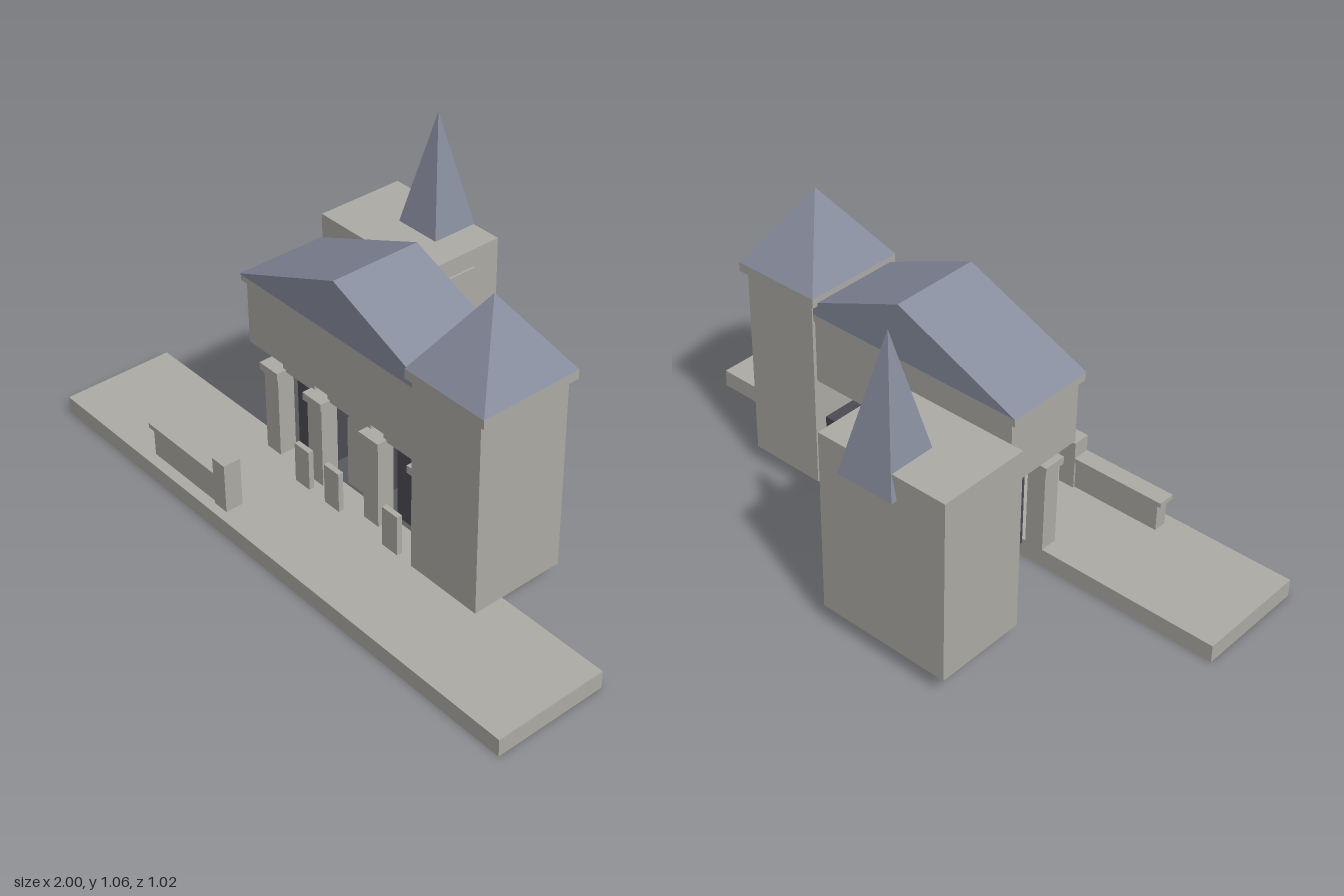
import * as THREE from 'three';

const mat = (name, color) => {
  const m = new THREE.MeshStandardMaterial({ color });
  m.name = name;
  return m;
};

export function createModel() {
  const model = new THREE.Group();
  model.name = 'gatehouse';
  const stone = mat('stone', 0xaeaca6);
  const slate = mat('slate', 0x888d9e);
  const dark = mat('dark doorway', 0x4d4b54);

  const add = (name, geometry, material) => {
    const mesh = new THREE.Mesh(geometry, material);
    mesh.name = name;
    model.add(mesh);
    return mesh;
  };
  // Box given by its limits on each axis
  const box = (name, x0, x1, y0, y1, z0, z1, material = stone) => {
    const mesh = add(name, new THREE.BoxGeometry(x1 - x0, y1 - y0, z1 - z0), material);
    mesh.position.set((x0 + x1) / 2, (y0 + y1) / 2, (z0 + z1) / 2);
  };
  // Four-sided roof over a rectangle
  const pyramid = (name, x, z, w, d, y0, y1) => {
    const g = new THREE.ConeGeometry(Math.SQRT1_2, 1, 4).toNonIndexed();
    g.rotateY(Math.PI / 4);
    g.scale(w, y1 - y0, d);
    g.computeVertexNormals();
    add(name, g, slate).position.set(x, (y0 + y1) / 2, z);
  };
  // Outline in x and y, extruded along z
  const prism = (name, points, z0, z1, material) => {
    const shape = new THREE.Shape(points.map(([x, y]) => new THREE.Vector2(x, y)));
    const g = new THREE.ExtrudeGeometry(shape, { depth: z1 - z0, bevelEnabled: false });
    add(name, g, material).position.z = z0;
  };

  box('base', -1, 1, 0, 0.06, 0.125, 0.51);

  // Square tower
  box('tower', 0.34, 0.61, 0.063, 0.72, -0.095, 0.23);
  box('towerCornice', 0.32, 0.63, 0.717, 0.748, -0.11, 0.24);
  pyramid('towerRoof', 0.475, 0.065, 0.31, 0.35, 0.748, 0.99);

  // Raised hall with a wide gable
  box('hall', -0.42, 0.36, 0.44, 0.66, -0.083, 0.205);
  box('hallCornice', -0.435, 0.36, 0.655, 0.68, -0.09, 0.215);
  prism('hallRoof', [[-0.435, 0.68], [0.435, 0.68], [0, 0.863]], -0.09, 0.22, slate);

  // Pillars with caps
  for (const [x0, x1] of [[-0.38, -0.315], [-0.175, -0.11], [0.08, 0.145], [0.29, 0.345]]) {
    box('pillar', x0, x1, 0.06, 0.35, 0.125, 0.185);
    box('pillarCap', x0 - 0.01, x1 + 0.01, 0.348, 0.374, 0.115, 0.195);
  }

  // Blocks carrying the hall between the pillars
  for (const [x0, x1] of [[-0.32, -0.17], [-0.11, 0.085], [0.14, 0.295]])
    box('supportBlock', x0, x1, 0.366, 0.442, 0.02, 0.16);
  box('supportBlock', -0.16, -0.115, 0.374, 0.442, 0.06, 0.14);

  // Dark side passages and the middle doorway
  box('leftPassage', -0.315, -0.175, 0.06, 0.34, -0.1, 0.11, dark);
  box('rightPassage', 0.145, 0.29, 0.06, 0.34, -0.1, 0.11, dark);
  box('middlePassage', -0.07, 0.045, 0.06, 0.3, -0.07, 0.09, dark);
  prism('middleDoor', [[-0.075, 0.06], [0.05, 0.06], [0.05, 0.3], [0.035, 0.325], [-0.06, 0.325], [-0.075, 0.3]],
    0.09, 0.115, stone);

  // Low posts before the passages
  for (const x of [-0.155, -0.017, 0.245])
    box('lowPost', x - 0.033, x + 0.033, 0.06, 0.2, 0.21, 0.228);

  // Rear building with side bay and spire
  box('rearBuilding', -0.54, -0.08, 0.063, 0.68, -0.49, -0.18);
  box('sideBay', -0.16, -0.072, 0.275, 0.62, -0.39, -0.125);
  pyramid('spire', -0.27, -0.413, 0.2, 0.195, 0.6, 1.06);

  // Garden wall ending in a pier
  box('gardenWall', -0.572, -0.255, 0.06, 0.157, 0.427, 0.473);
  box('gardenWallCap', -0.588, -0.255, 0.157, 0.173, 0.42, 0.48);
  box('gardenPier', -0.26, -0.203, 0.06, 0.23, 0.42, 0.48);

  return model;
}
